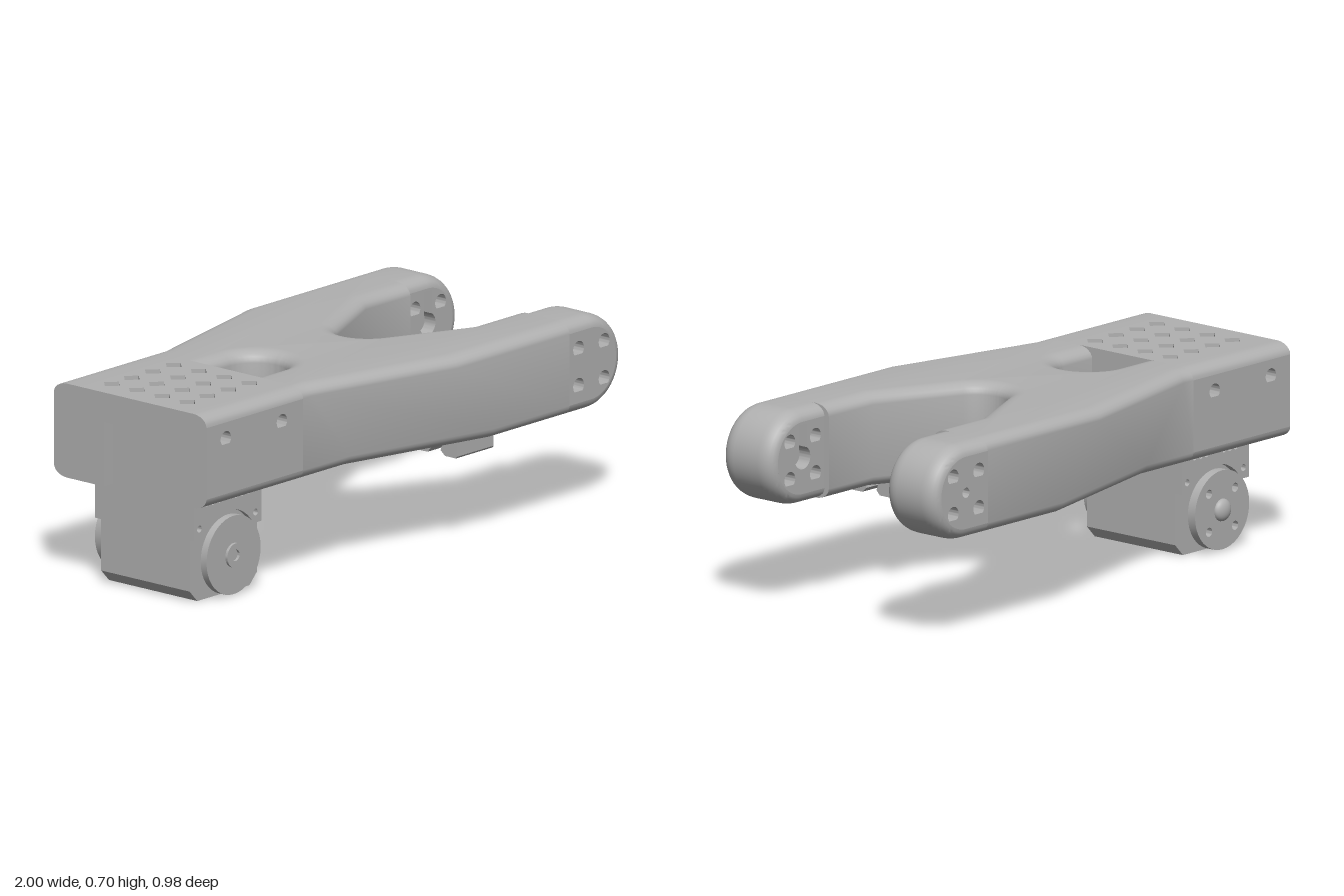
import * as THREE from 'three';
import { toCreasedNormals } from 'three/addons/utils/BufferGeometryUtils.js';

const Y0 = 0.37, Y1 = 0.705, MID = (Y0 + Y1) / 2; // height range of the arm
const FY = 0.04, FZ = 0.06;                       // edge rounding, vertical and sideways

export function createModel() {
  const model = new THREE.Group();
  const grey = new THREE.MeshStandardMaterial({ color: 0xb0b0b0 });
  grey.name = 'light grey plastic';

  const add = (name, geo, parent = model) => {
    const mesh = new THREE.Mesh(geo, grey);
    mesh.name = name;
    parent.add(mesh);
    return mesh;
  };
  const poly = (pts) => new THREE.Shape(pts.map(([x, y]) => new THREE.Vector2(x, y)));
  const rect = (x0, x1, y0, y1) => poly([[x0, y0], [x1, y0], [x1, y1], [x0, y1]]);
  const circle = (x, y, r) => new THREE.Path().absarc(x, y, r, 0, Math.PI * 2, false);
  const teardrop = (x, y, r) => new THREE.Path().moveTo(x, y - 1.4 * r)
    .absarc(x, y, r, -Math.PI / 4, Math.PI * 1.25, false);
  const smooth = (geo) => toCreasedNormals(geo, 0.6);
  const moveVertices = (geo, rule) => {
    const p = geo.attributes.position, v = new THREE.Vector3();
    for (let i = 0; i < p.count; i++) {
      rule(v.fromBufferAttribute(p, i));
      p.setXYZ(i, v.x, v.y, v.z);
    }
    return geo;
  };
  // Straight extrusion from z0 to z1, optionally with holes
  const slab = (shape, z0, z1, holes = []) => {
    shape.holes = holes;
    return smooth(new THREE.ExtrudeGeometry(shape, { depth: z1 - z0, bevelEnabled: false, curveSegments: 20 })
      .translate(0, 0, z0));
  };
  // Rounded rim without its caps, so that a core with holes can fill it
  const rim = (shape, z0, z1, rule) => {
    const full = new THREE.ExtrudeGeometry(shape, {
      depth: z1 - z0 - 2 * FZ, bevelThickness: FZ, bevelSize: FY, bevelOffset: -FY, bevelSegments: 6, curveSegments: 20,
    }).translate(0, 0, z0 + FZ);
    const { start, count } = full.groups[1];
    const geo = new THREE.BufferGeometry();
    for (const n of ['position', 'uv']) {
      const a = full.attributes[n], s = a.itemSize;
      geo.setAttribute(n, new THREE.BufferAttribute(a.array.slice(start * s, (start + count) * s), s));
    }
    return smooth(moveVertices(geo, rule));
  };
  const range = (s, a, b) => (s > 0 ? [a, b] : [-b, -a]);

  // Forked middle of the arm, rounded on the top and bottom edges
  const plan = new THREE.Shape();
  plan.moveTo(-0.6, -0.35).lineTo(-0.45, -0.35).lineTo(0.14, -0.49).lineTo(0.82, -0.49)
    .lineTo(0.82, -0.24).lineTo(0.49, -0.24)
    .absarc(0.23, 0, 0.11, -2.02, 2.02, true)
    .lineTo(0.49, 0.24).lineTo(0.82, 0.24).lineTo(0.82, 0.49).lineTo(0.14, 0.49)
    .lineTo(-0.45, 0.35).lineTo(-0.6, 0.35).lineTo(-0.6, 0.115)
    .absarc(-0.355, 0, 0.115, Math.PI / 2, -Math.PI / 2, true)
    .lineTo(-0.6, -0.115);
  const fork = new THREE.ExtrudeGeometry(plan, {
    depth: Y1 - Y0 - 2 * FY, bevelThickness: FY, bevelSize: FZ, bevelOffset: -FZ, bevelSegments: 6, curveSegments: 24,
  }).rotateX(-Math.PI / 2).translate(0, Y0 + FY, 0);
  moveVertices(fork, (v) => {
    // the flare starts further forward at the bottom
    if (Math.abs(v.z) > 0.27 && v.x > -0.49 && v.x < 0.4) {
      v.x += 0.19 * THREE.MathUtils.clamp((0.63 - v.y) / 0.2, 0, 1);
    }
    v.x = THREE.MathUtils.clamp(v.x, -0.5, 0.72);
  });
  add('forkedArm', smooth(fork));

  // Fork tips and side walls of the motor housing
  const tipX = 0.8325, tipR = (Y1 - Y0) / 2;
  const tipShape = (x0, r) => new THREE.Shape().moveTo(x0, MID - r).lineTo(tipX, MID - r)
    .absarc(tipX, MID, r, -Math.PI / 2, Math.PI / 2, false).lineTo(x0, MID + r);
  const tipHoles = () => [-1, 1].flatMap((i) => [-1, 1].map((j) => teardrop(tipX + i * 0.066, MID + j * 0.066, 0.028)));
  const keyhole = () => new THREE.Path().moveTo(tipX + 0.02, 0.655).lineTo(tipX + 0.02, MID + 0.0346)
    .absarc(tipX, MID, 0.04, Math.PI / 3, Math.PI * 2 / 3, true).lineTo(tipX - 0.02, 0.655);

  for (const s of [1, -1]) {
    const side = s > 0 ? 'Front' : 'Back';
    const tip = new THREE.Group();
    tip.name = 'forkTip' + side;
    model.add(tip);
    add('tipRim', rim(tipShape(0.6, tipR), ...range(s, 0.26, 0.49), (v) => { v.x = Math.max(v.x, 0.72); }), tip);
    add('tipInnerCore', slab(tipShape(0.72, tipR - FY), ...range(s, 0.26, 0.31), [...tipHoles(), keyhole()]), tip);
    add('tipOuterCore', slab(tipShape(0.72, tipR - FY), ...range(s, 0.31, 0.49),
      s < 0 ? [...tipHoles(), circle(tipX, MID, 0.018)] : tipHoles()), tip);

    const wall = new THREE.Group();
    wall.name = 'housingWall' + side;
    model.add(wall);
    add('wallRim', rim(rect(-1.1, -0.4, Y0, Y1), ...range(s, 0.225 - FZ, 0.35), (v) => {
      v.x = THREE.MathUtils.clamp(v.x, -1, -0.5);
      v.z = s * Math.max(s * v.z, 0.225);
    }), wall);
    const core = () => rect(-1, -0.5, Y0 + FY, Y1 - FY);
    add('wallInnerCore', slab(core(), ...range(s, 0.225, 0.29)), wall);
    add('wallOuterCore', slab(core(), ...range(s, 0.29, 0.35),
      [-0.9, -0.61].map((x) => teardrop(x, 0.607, 0.027))), wall);
  }

  // Housing top plate with a grid of diamond vents
  const vents = [];
  for (const x of [-0.9, -0.797, -0.688, -0.58]) {
    for (const z of [-0.173, -0.058, 0.058, 0.173]) {
      const r = 0.036;
      vents.push(poly([[x - r, z], [x, z - r], [x + r, z], [x, z + r]]));
    }
  }
  add('ventedTopPlate', slab(rect(-0.95, -0.5, -0.225, 0.225), 0.6, Y1, vents).rotateX(-Math.PI / 2));

  // Housing end wall with a cable slot open at the bottom
  add('housingEndWall', slab(poly([[-0.225, Y0], [-0.12, Y0], [-0.12, 0.6], [0.12, 0.6], [0.12, Y0],
    [0.225, Y0], [0.225, Y1], [-0.225, Y1]]), -1, -0.95).rotateY(Math.PI / 2));

  // Motor
  const motor = new THREE.Group();
  motor.name = 'motor';
  model.add(motor);
  const mx = -0.755, my = 0.145;
  add('motorCase', slab(poly([[-0.89, 0], [-0.62, 0], [-0.58, 0.042], [-0.58, 0.585], [-0.93, 0.585], [-0.93, 0.042]]),
    -0.195, 0.21), motor);
  for (const s of [1, -1]) {
    const bracket = new THREE.Shape().moveTo(-0.93, 0.225).lineTo(mx - 0.133, 0.225)
      .absarc(mx, my, 0.155, Math.PI - 0.542, 0.542, true)
      .lineTo(-0.58, 0.225).lineTo(-0.58, 0.42).lineTo(-0.93, 0.42);
    const screws = [-0.9, -0.61].map((x) => circle(x, 0.262, 0.012));
    for (const d of [0.045, 0.075, 0.107]) {
      screws.push(circle(mx - d, 0.345, 0.011), circle(mx + d, 0.345, 0.011));
    }
    add('motorBracket', slab(bracket, ...(s > 0 ? [0.208, 0.229] : [-0.224, -0.193]), screws), motor);
  }
  const disc = (name, r, z0, z1, holes) =>
    add(name, slab(new THREE.Shape().absarc(mx, my, r, 0, Math.PI * 2, false), z0, z1, holes), motor);
  disc('frontHub', 0.065, 0.2, 0.232);
  disc('frontHorn', 0.14, 0.23, 0.257);
  disc('frontNub', 0.043, 0.25, 0.267, [circle(mx, my, 0.02)]);
  disc('backHub', 0.065, -0.222, -0.19);
  disc('backHorn', 0.14, -0.255, -0.222,
    [0, 1, 2, 3].map((i) => circle(mx + 0.095 * Math.cos(i * Math.PI / 2 + 0.785), my + 0.095 * Math.sin(i * Math.PI / 2 + 0.785), 0.016)));
  const dome = add('hornScrew', new THREE.SphereGeometry(0.04, 24, 10, 0, Math.PI * 2, 0, Math.PI / 2), motor);
  dome.rotation.x = -Math.PI / 2;
  dome.scale.y = 0.6;
  dome.position.set(mx, my, -0.254);

  // Cable clip under the front arm
  const clip = poly([[-0.43, 0.38], [-0.43, 0.325], [-0.425, 0.318], [-0.375, 0.318], [-0.355, 0.335], [-0.365, 0.362],
    [-0.3, 0.362], [-0.31, 0.335], [-0.295, 0.318], [-0.215, 0.318], [-0.215, 0.38]]);
  add('cableClip', slab(clip, 0.205, 0.395).rotateY(Math.PI / 2));

  return model;
}
